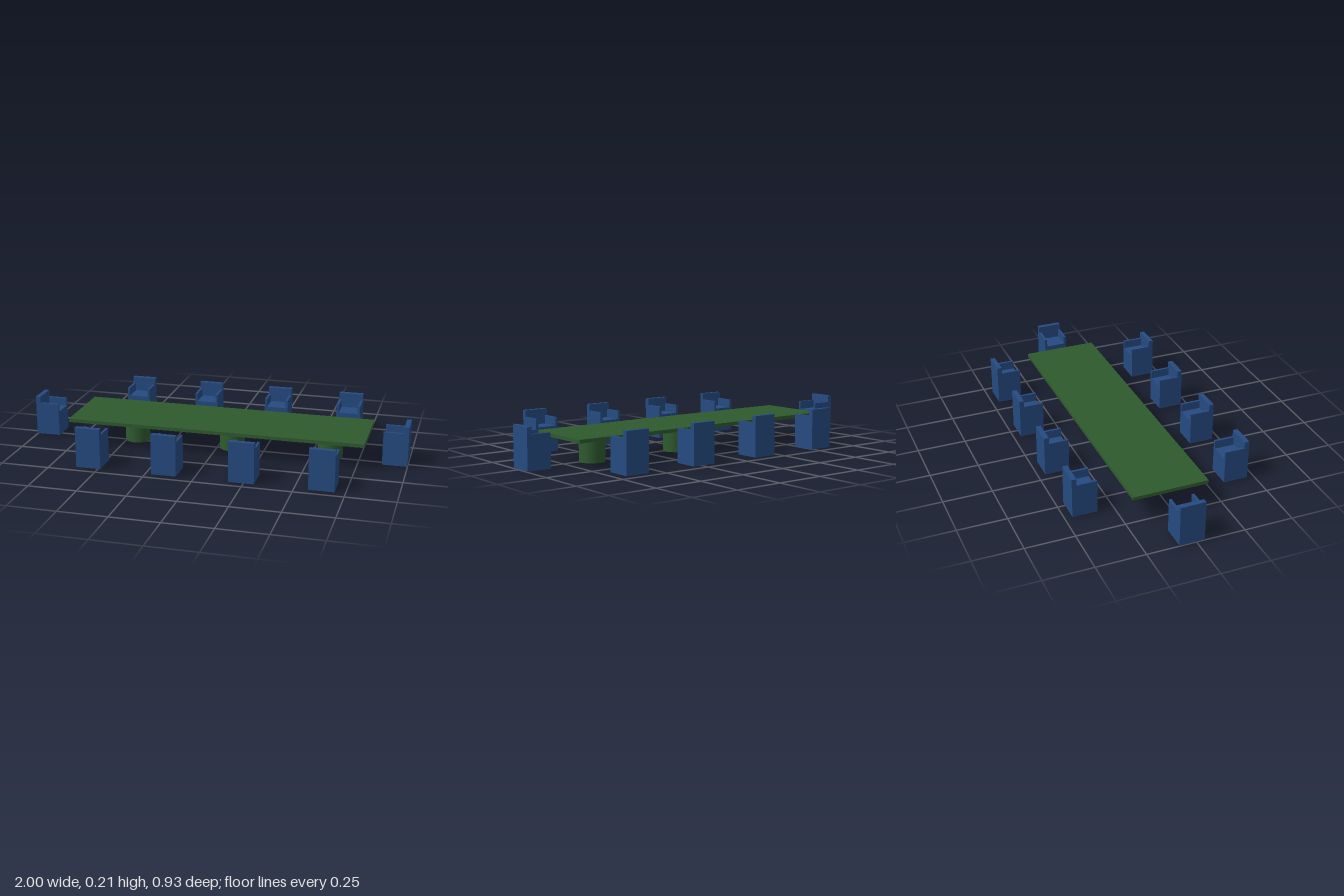
import * as THREE from 'three';

const green = new THREE.MeshStandardMaterial({ name: 'tableGreen', color: 0x2e5a2e });
const blue = new THREE.MeshStandardMaterial({ name: 'chairBlue', color: 0x254a80 });

// Box given by its minimum and maximum corners
function box(name, material, [x0, y0, z0], [x1, y1, z1]) {
  const mesh = new THREE.Mesh(new THREE.BoxGeometry(x1 - x0, y1 - y0, z1 - z0), material);
  mesh.name = name;
  mesh.position.set((x0 + x1) / 2, (y0 + y1) / 2, (z0 + z1) / 2);
  return mesh;
}

// Block armchair facing +z, centred on its footprint
function createChair(name, x, z, turn) {
  const h = 0.064, back = 0.025, arm = 0.013;
  const bottom = 0.003, seat = 0.134, armTop = 0.177, top = 0.212;
  const chair = new THREE.Group();
  chair.name = name;
  chair.add(
    box('seatBase', blue, [-h, bottom, -h + back], [h, seat, h]),
    box('backrest', blue, [-h, bottom, -h], [h, top, -h + back]),
    box('rightArm', blue, [-h, seat, -h + back], [-h + arm, armTop, h]),
    box('leftArm', blue, [h - arm, seat, -h + back], [h, armTop, h])
  );
  chair.position.set(x, 0, z);
  chair.rotation.y = turn;
  return chair;
}

export function createModel() {
  const model = new THREE.Group();
  model.name = 'conferenceTableSet';
  const midZ = -0.0225;

  // Table top on three round pedestals
  const table = new THREE.Group();
  table.name = 'table';
  table.add(box('tableTop', green, [-0.761, 0.132, -0.217], [0.796, 0.15, 0.172]));
  for (const x of [-0.445, 0.077, 0.597]) {
    const leg = new THREE.Mesh(new THREE.CylinderGeometry(0.065, 0.065, 0.132, 32), green);
    leg.name = 'pedestal';
    leg.position.set(x, 0.066, midZ);
    table.add(leg);
  }
  model.add(table);

  // Four chairs along each long side, facing the table
  for (let i = 0; i < 4; i++) {
    const x = -0.548 + i * 0.394;
    model.add(createChair('frontChair', x, 0.399, Math.PI));
    model.add(createChair('backChair', x + 0.005, -0.399, 0));
  }

  // One chair at each end
  model.add(createChair('rightEndChair', -0.936, midZ, Math.PI / 2));
  model.add(createChair('leftEndChair', 0.936, midZ, -Math.PI / 2));
  return model;
}
